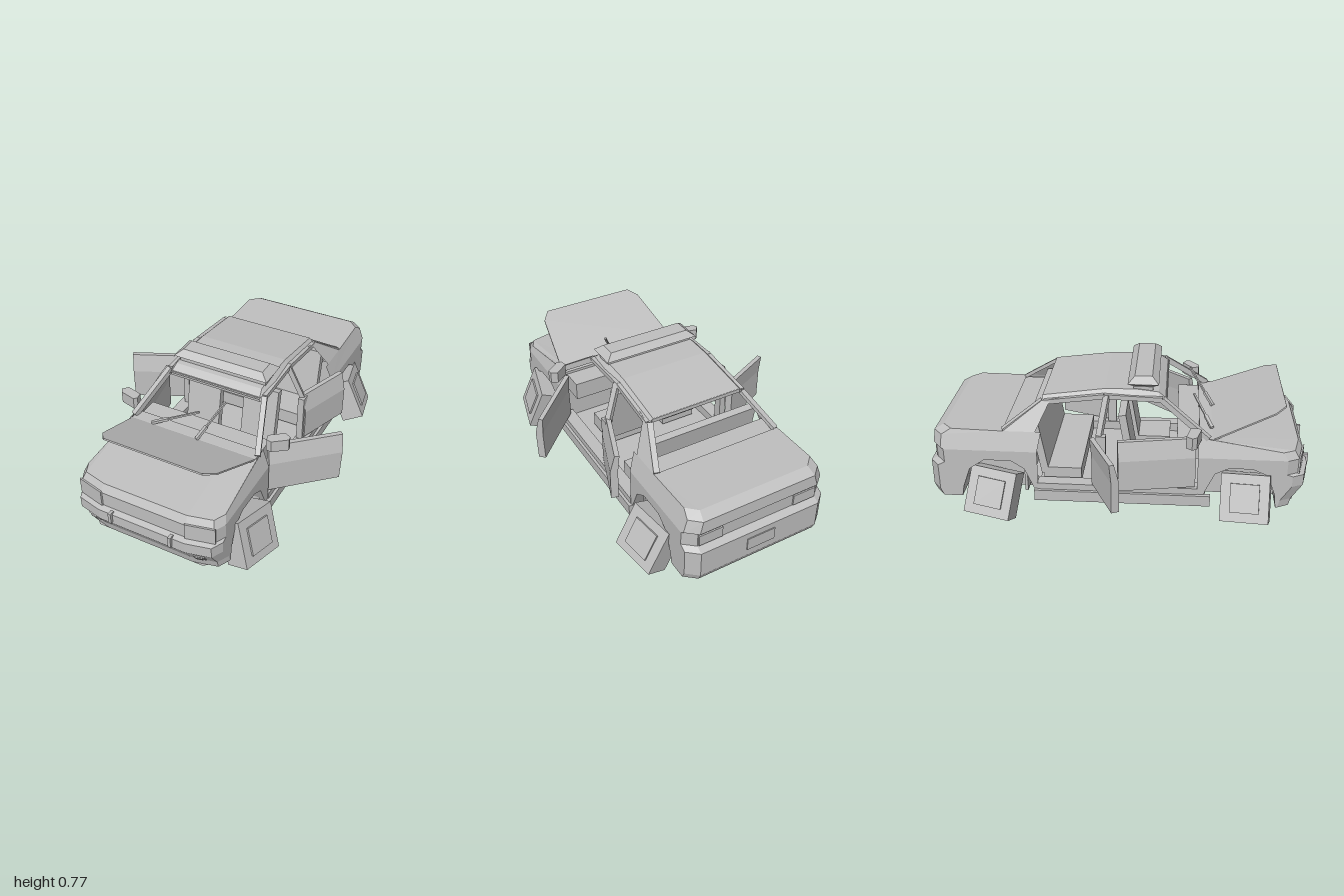
import * as THREE from 'three';

const body = new THREE.MeshStandardMaterial({ color: 0xbfbfbf, flatShading: true, side: THREE.DoubleSide });
body.name = 'plain grey';

// Half width of the shell: straight below the waistline, leaning in above it
const sideX = (y) => {
  if (y <= 0.4) return 0.4;
  if (y <= 0.5) return 0.4 - (y - 0.4) * 0.35;
  return 0.365 - (y - 0.5) * 0.53;
};

export function createModel() {
  const root = new THREE.Group();
  const add = (name, geo, parent = root) => {
    const m = new THREE.Mesh(geo, body);
    m.name = name;
    parent.add(m);
    return m;
  };
  const box = (name, w, h, d, x, y, z, parent = root) => {
    const m = add(name, new THREE.BoxGeometry(w, h, d), parent);
    m.position.set(x, y, z);
    return m;
  };
  const fromTriangles = (pts) => {
    const g = new THREE.BufferGeometry();
    g.setAttribute('position', new THREE.Float32BufferAttribute(pts.flat(), 3));
    g.computeVertexNormals();
    return g;
  };
  // Sheet through rows of points
  const loft = (name, rows) => {
    const t = [];
    for (let i = 0; i < rows.length - 1; i++) {
      for (let j = 0; j < rows[i].length - 1; j++) {
        const a = rows[i][j], b = rows[i][j + 1], c = rows[i + 1][j + 1], d = rows[i + 1][j];
        t.push(a, b, c, a, c, d);
      }
    }
    return add(name, fromTriangles(t));
  };
  // Side panel drawn as [z, y], bent onto the shell and mirrored
  const sidePanel = (name, pts, xAt = sideX) => {
    for (const s of [-1, 1]) {
      const g = new THREE.ShapeGeometry(new THREE.Shape(pts.map((p) => new THREE.Vector2(s * -p[0], p[1]))));
      const p = g.attributes.position;
      for (let i = 0; i < p.count; i++) {
        const z = -s * p.getX(i), y = p.getY(i);
        p.setXYZ(i, s * xAt(y), y, z);
      }
      g.computeVertexNormals();
      add(name, g);
    }
  };
  const bar = (name, a, b, w, d) => {
    const A = new THREE.Vector3(...a), B = new THREE.Vector3(...b);
    const m = add(name, new THREE.BoxGeometry(w, d, A.distanceTo(B)));
    m.position.copy(A).add(B).multiplyScalar(0.5);
    m.lookAt(B);
    return m;
  };

  // Front and rear ends: [y, z] profiles swept across columns [x, setback]
  const frontProfile = [[0.44, 0.93], [0.4, 0.955], [0.32, 0.955], [0.31, 0.985], [0.25, 0.985], [0.165, 0.93], [0.123, 0.92]];
  const rearProfile = [[0.505, -0.92], [0.475, -0.97], [0.41, -0.975], [0.4, -0.96], [0.325, -0.96], [0.305, -0.997], [0.16, -0.997], [0.123, -0.98]];
  const columns = (half) => [...half.map(([x, o]) => [-x, o]), ...half.slice().reverse()];
  const sweep = (profile, cols, dir) => profile.map(([y, z]) =>
    cols.map(([x, o]) => [x * sideX(y) / 0.4, y, z - dir * o]));
  const frontCols = columns([[0.4, 0.09], [0.37, 0.03], [0.24, 0]]);
  const rearCols = columns([[0.4, 0.05], [0.34, 0]]);
  const frontRows = sweep(frontProfile, frontCols, 1);
  const rearRows = sweep(rearProfile, rearCols, -1);
  loft('frontEnd', frontRows);
  loft('rearEnd', rearRows);
  loft('engineCover', [frontCols.map(([x]) => [x * 0.92, 0.49, 0.48]), frontRows[0]]);
  loft('trunkDeck', [rearRows[0], rearCols.map(([x]) => [x * 0.9125, 0.5, -0.6])]);

  // Fenders with faceted wheel arches
  const frontArch = [[0.45, 0.123], [0.45, 0.2], [0.5, 0.31], [0.57, 0.345], [0.69, 0.345], [0.77, 0.31], [0.81, 0.2], [0.82, 0.123]];
  const rearArch = [[-0.43, 0.123], [-0.44, 0.18], [-0.49, 0.3], [-0.56, 0.345], [-0.7, 0.345], [-0.78, 0.29], [-0.82, 0.18], [-0.83, 0.123]];
  sidePanel('frontFender', [[0.41, 0.123], ...frontArch, [0.83, 0.123], [0.84, 0.165], [0.895, 0.25], [0.895, 0.31], [0.865, 0.32], [0.865, 0.4], [0.41, 0.4]]);
  sidePanel('frontShoulder', [[0.41, 0.4], [0.865, 0.4], [0.84, 0.44], [0.48, 0.49], [0.41, 0.5]]);
  sidePanel('rearFender', [[-0.42, 0.123], ...rearArch, [-0.93, 0.123], [-0.947, 0.16], [-0.947, 0.305], [-0.91, 0.325], [-0.91, 0.4], [-0.42, 0.4]]);
  sidePanel('rearShoulder', [[-0.42, 0.4], [-0.91, 0.4], [-0.925, 0.41], [-0.92, 0.475], [-0.87, 0.505], [-0.6, 0.5], [-0.4, 0.5]]);
  for (const arch of [frontArch, rearArch]) {
    sidePanel('wheelWellWall', arch, () => 0.27);
    for (const s of [-1, 1]) {
      loft('wheelWellLiner', [0.4, 0.27].map((x) => arch.map(([z, y]) => [s * x, y, z])));
    }
  }

  // Flat floor, notched at the wheels
  const half = [[0.3, 0.92], [0.4, 0.83], [0.27, 0.82], [0.27, 0.45], [0.4, 0.45], [0.4, -0.43], [0.27, -0.43], [0.27, -0.83], [0.4, -0.83], [0.4, -0.93], [0.34, -0.98]];
  const outline = [...half, ...half.slice().reverse().map(([x, z]) => [-x, z])];
  const floor = new THREE.ShapeGeometry(new THREE.Shape(outline.map(([x, z]) => new THREE.Vector2(x, z))));
  floor.rotateX(Math.PI / 2);
  add('floor', floor).position.y = 0.123;
  box('cabinFloor', 0.74, 0.02, 0.86, 0, 0.16, 0);

  // Cabin: roof, pillars, sills
  const roofRow = (z, y, w) => [[-w, y - 0.03, z], [-w + 0.03, y, z], [w - 0.03, y, z], [w, y - 0.03, z]];
  loft('roof', [roofRow(0.245, 0.66, 0.288), roofRow(0.2, 0.695, 0.28), roofRow(0.08, 0.708, 0.28), roofRow(-0.08, 0.705, 0.28), roofRow(-0.4, 0.662, 0.285)]);
  box('frontRoofHeader', 0.52, 0.025, 0.03, 0, 0.655, 0.225);
  box('rearRoofHeader', 0.52, 0.02, 0.03, 0, 0.647, -0.385);
  sidePanel('rearPillar', [[-0.31, 0.66], [-0.4, 0.645], [-0.6, 0.5], [-0.43, 0.5], [-0.36, 0.64]]);
  for (const s of [-1, 1]) {
    bar('frontPillar', [s * 0.36, 0.49, 0.46], [s * 0.277, 0.665, 0.22], 0.028, 0.03);
    bar('roofRail', [s * 0.277, 0.665, 0.22], [s * 0.277, 0.675, -0.08], 0.022, 0.025);
    bar('roofRail', [s * 0.277, 0.675, -0.08], [s * 0.28, 0.635, -0.39], 0.022, 0.025);
    bar('rearWindowFrame', [s * 0.272, 0.64, -0.4], [s * 0.35, 0.5, -0.6], 0.03, 0.02);
    bar('middlePillar', [s * 0.355, 0.48, -0.1], [s * 0.278, 0.68, -0.065], 0.03, 0.025);
    box('middlePillarBase', 0.035, 0.29, 0.05, s * 0.36, 0.345, -0.09);
    box('sill', 0.07, 0.07, 0.84, s * 0.37, 0.185, -0.005);
    box('sideSkirt', 0.025, 0.06, 0.92, s * 0.408, 0.155, 0.02);
  }

  // Cabin interior
  box('firewall', 0.74, 0.35, 0.02, 0, 0.31, 0.445);
  box('dashboard', 0.7, 0.1, 0.14, 0, 0.42, 0.37);
  box('cowl', 0.72, 0.015, 0.07, 0, 0.482, 0.45);
  box('parcelShelf', 0.7, 0.015, 0.12, 0, 0.485, -0.55);
  box('rearBulkhead', 0.72, 0.33, 0.015, 0, 0.31, -0.49);
  const seat = (name, w, x, z) => {
    const g = new THREE.Group();
    g.name = name;
    g.position.set(x, 0, z);
    box('seatCushion', w, 0.08, 0.2, 0, 0.23, 0.1, g);
    box('seatBack', w, 0.33, 0.04, 0, 0.4, -0.02, g).rotation.x = -0.17;
    root.add(g);
  };
  for (const s of [-1, 1]) seat('frontSeat', 0.2, s * 0.17, 0.06);
  seat('rearSeat', 0.64, 0, -0.4);

  // Raised hood, hinged at the cowl
  const hoodShape = new THREE.Shape([[-0.36, 0], [0.36, 0], [0.315, 0.34], [0.27, 0.4], [-0.27, 0.4], [-0.315, 0.34]].map((p) => new THREE.Vector2(...p)));
  const hood = add('hood', new THREE.ExtrudeGeometry(hoodShape, { depth: 0.008, bevelEnabled: false }));
  hood.position.set(0, 0.488, 0.48);
  hood.rotation.x = Math.PI / 2 - 0.41;

  // Roof light bar: stacked tapered blocks
  const block = (y0, y1, w0, d0, w1, d1) => {
    const ring = (y, w, d) => [[-w, y, -d], [w, y, -d], [w, y, d], [-w, y, d], [-w, y, -d]];
    const dot = (y) => Array(5).fill([0, y, 0]);
    loft('roofBar', [dot(y0), ring(y0, w0, d0), ring(y1, w1, d1), dot(y1)]).position.set(0.005, 0, 0.12);
  };
  block(0.695, 0.72, 0.25, 0.05, 0.25, 0.05);
  block(0.72, 0.738, 0.245, 0.055, 0.27, 0.08);
  block(0.738, 0.77, 0.27, 0.08, 0.23, 0.045);

  // Open doors: [name, side, hinge x, hinge z, length, swing, sag]
  for (const [name, s, x, z, len, swing, sag] of [
    ['leftFrontDoor', 1, 0.385, 0.41, 0.4, 0.79, -0.04],
    ['leftRearDoor', 1, 0.385, -0.08, 0.32, 0.34, 0],
    ['rightFrontDoor', -1, -0.4, 0.4, 0.4, 0.18, 0],
    ['rightRearDoor', -1, -0.39, -0.1, 0.3, 2.0, 0]]) {
    const profile = [[-0.04, 0.23], [0, 0.23], [0, 0.4], [-0.025, 0.5], [-0.05, 0.5], [-0.04, 0.4]];
    const g = new THREE.ExtrudeGeometry(new THREE.Shape(profile.map((p) => new THREE.Vector2(s * p[0], p[1]))), { depth: len, bevelEnabled: false });
    const door = add(name, g.translate(0, 0, -len));
    door.position.set(x, 0, z);
    door.rotation.set(sag, -s * swing, 0, 'YXZ');
  }

  // Blocky wheels, knocked askew: [name, side, x, y, z, pitch, yaw, tilt]
  for (const [name, s, x, y, z, pitch, yaw, tilt] of [
    ['leftFrontWheel', 1, 0.425, 0.178, 0.67, -0.14, -0.23, 0.36],
    ['rightFrontWheel', -1, -0.4, 0.178, 0.665, -0.06, -0.17, -0.42],
    ['leftRearWheel', 1, 0.428, 0.175, -0.67, -0.12, 0.2, 0.45],
    ['rightRearWheel', -1, -0.398, 0.153, -0.66, 0.08, -0.2, -0.45]]) {
    const w = new THREE.Group();
    w.name = name;
    box('tyre', 0.125, 0.25, 0.25, 0, 0, 0, w);
    box('hub', 0.012, 0.15, 0.15, s * 0.066, 0, 0, w);
    w.position.set(x, y, z);
    w.rotation.set(pitch, yaw, tilt, 'YXZ');
    root.add(w);
  }

  // Mirrors: six-sided housings
  const mirror = (name, x, y, z, yaw) => {
    const shape = new THREE.Shape([[-0.06, -0.01], [-0.04, -0.03], [0.05, -0.03], [0.06, -0.01], [0.045, 0.025], [-0.045, 0.025]].map((p) => new THREE.Vector2(...p)));
    const g = new THREE.ExtrudeGeometry(shape, { depth: 0.065, bevelEnabled: false });
    const m = add(name, g.rotateX(-Math.PI / 2).translate(0, -0.0325, 0));
    m.position.set(x, y, z);
    m.rotation.y = yaw;
  };
  mirror('leftMirror', 0.425, 0.538, 0.37, 0.65);
  mirror('rightMirror', -0.43, 0.525, 0.38, -0.25);

  // Lifted wipers
  for (const [a, b] of [[[-0.24, 0.495, 0.48], [-0.01, 0.58, 0.385]], [[0.03, 0.495, 0.49], [0.13, 0.675, 0.36]]]) {
    bar('wiper', a, b, 0.01, 0.01);
    const mid = a.map((v, i) => v + (b[i] - v) * 0.35);
    bar('wiperArm', a, mid, 0.018, 0.014);
  }

  // Lamps, bumper guards and plate
  for (const s of [-1, 1]) {
    box('headlight', 0.15, 0.09, 0.009, s * 0.305, 0.365, 0.942).rotation.y = s * 0.23;
    box('bumperGuard', 0.016, 0.06, 0.03, s * 0.168, 0.293, 0.985);
    for (const [size, lift] of [[0.055, 0], [0.035, 0.004]]) {
      const fog = box('fogLamp', size, size, 0.009, s * 0.3, 0.205 - lift * 0.5, 0.943 + lift);
      fog.rotation.set(0.57, s * 0.23, 0, 'YXZ');
    }
    box('tailLight', 0.13, 0.06, 0.009, s * 0.27, 0.36, -0.963);
  }
  box('rearPlate', 0.16, 0.07, 0.008, 0, 0.235, -0.998);

  return root;
}
